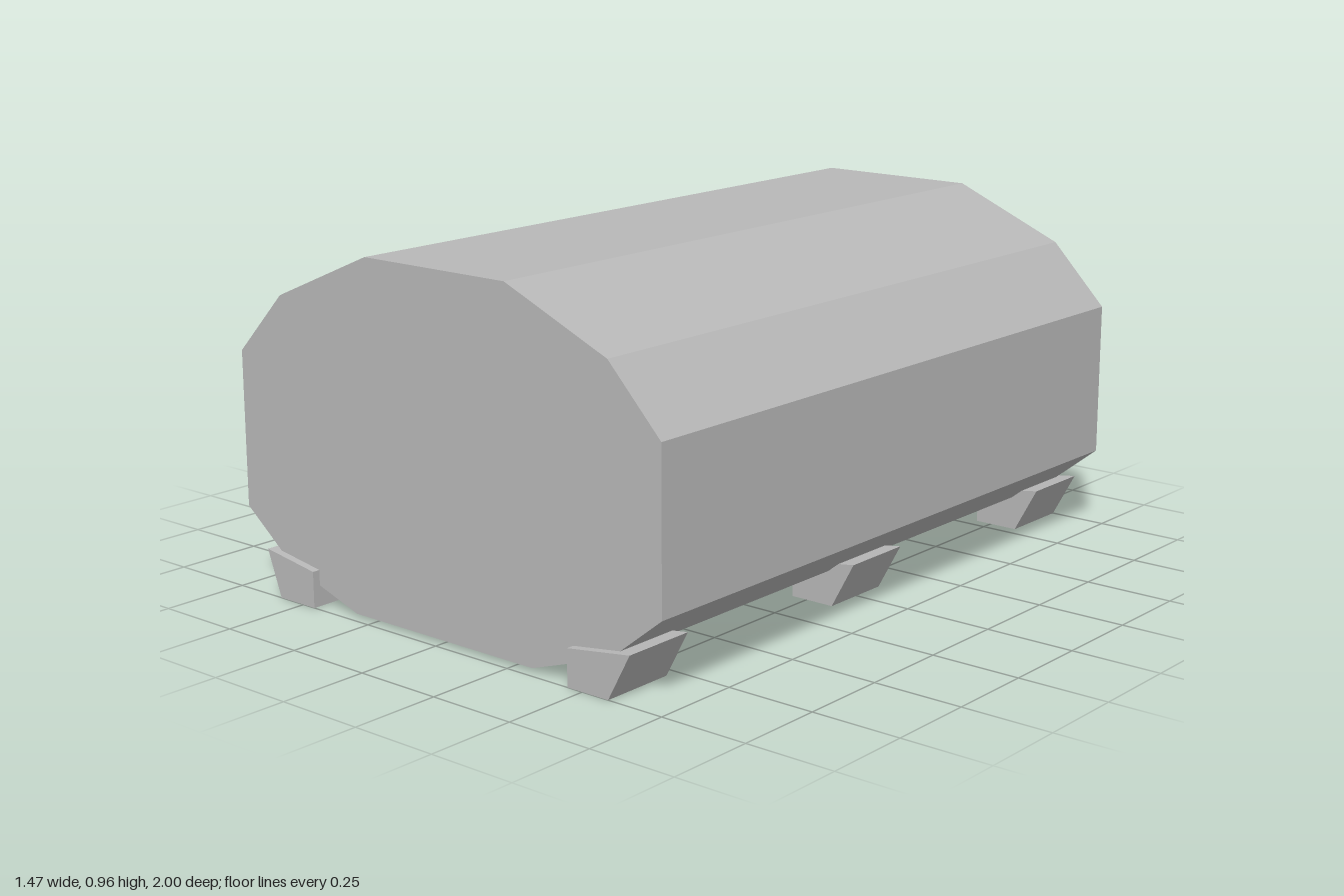
import * as THREE from 'three';

export function createModel() {
  const model = new THREE.Group();
  const grey = new THREE.MeshStandardMaterial({ color: 0xb8b8b8, side: THREE.DoubleSide, flatShading: true });
  grey.name = 'grey';

  const add = (name, geometry, z = 0) => {
    const mesh = new THREE.Mesh(geometry, grey);
    mesh.name = name;
    mesh.position.z = z;
    model.add(mesh);
    return mesh;
  };
  const toShape = (pts) => new THREE.Shape(pts.map(([x, y]) => new THREE.Vector2(x, y)));

  // Twelve-sided outline of the hollow shell, counter-clockwise from the front
  const half = [[0.315, 0.01], [0.57, 0.095], [0.733, 0.225], [0.733, 0.655], [0.57, 0.825], [0.242, 0.965]];
  const outline = [...half, ...half.map(([x, y]) => [-x, y]).reverse()];
  const depth = 0.978;

  // Thin shell wall: one flat panel per outline edge
  const positions = [];
  outline.forEach(([x0, y0], i) => {
    const [x1, y1] = outline[(i + 1) % outline.length];
    positions.push(
      x0, y0, depth, x0, y0, -depth, x1, y1, -depth,
      x0, y0, depth, x1, y1, -depth, x1, y1, depth
    );
  });
  const wall = new THREE.BufferGeometry();
  wall.setAttribute('position', new THREE.Float32BufferAttribute(positions, 3));
  wall.computeVertexNormals();
  add('shellWall', wall);

  // Closed front end
  add('frontWall', new THREE.ShapeGeometry(toShape(outline)), depth);

  // Back end with the eight-sided entrance
  const backShape = toShape(outline.map(([x, y]) => [-x, y]));
  const entrance = [
    [0.53, 0.225], [0.43, 0.115], [0.265, 0.115], [0.135, 0.225],
    [0.135, 0.565], [0.265, 0.68], [0.435, 0.68], [0.53, 0.565]
  ];
  backShape.holes.push(new THREE.Path(entrance.map(([x, y]) => new THREE.Vector2(-x, y))));
  add('backWallWithEntrance', new THREE.ShapeGeometry(backShape), -depth).rotation.y = Math.PI;

  // Six wedge feet, three along each side
  const footLength = 0.213;
  const feet = {
    leftFoot: [[0.452, 0], [0.583, 0], [0.652, 0.128], [0.452, 0.1]],
    rightFoot: [[-0.457, 0], [-0.457, 0.1], [-0.635, 0.128], [-0.588, 0]]
  };
  for (const [name, profile] of Object.entries(feet)) {
    for (const z of [-0.8935, 0.005, 0.8935]) {
      const foot = new THREE.ExtrudeGeometry(toShape(profile), { depth: footLength, bevelEnabled: false });
      foot.translate(0, 0, -footLength / 2);
      add(name, foot, z);
    }
  }
  return model;
}
